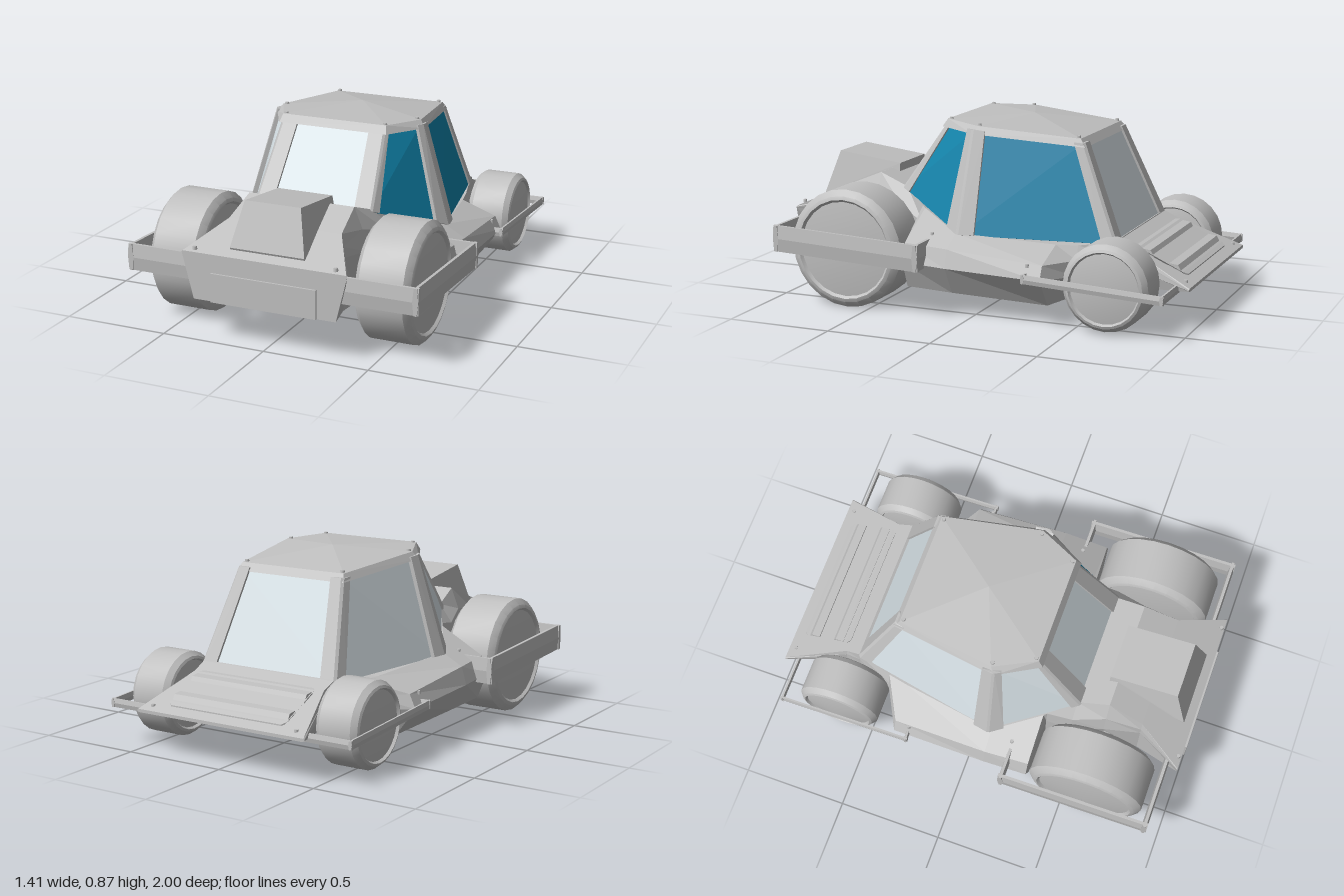
import * as THREE from 'three';
import { toCreasedNormals } from 'three/addons/utils/BufferGeometryUtils.js';
import { ConvexGeometry } from 'three/addons/geometries/ConvexGeometry.js';

const V = (x, y, z) => new THREE.Vector3(x, y, z);
const mat = (name, color) => Object.assign(new THREE.MeshStandardMaterial({ color }), { name });

export function createModel() {
  const model = new THREE.Group();
  model.name = 'buggy';
  const body = mat('bodyGrey', 0xc0c0c0);
  const pale = mat('paleGlass', 0xd6e0e5);
  const blue = mat('blueGlass', 0x1083aa);

  const add = (name, geometry, material = body, parent = model) => {
    const m = new THREE.Mesh(geometry, material);
    m.name = name;
    parent.add(m);
    return m;
  };
  const solid = (name, points, material) => add(name, new ConvexGeometry(points), material);
  // each point given for +x, mirrored to -x
  const both = (pts) => pts.flatMap(([x, y, z]) => [V(x, y, z), V(-x, y, z)]);

  // hull: lofted half sections, front to back: z, bottom, side, mid, top
  const sections = [
    [0.99, [0.345, 0.19], [0.398, 0.40], [0.399, 0.405], [0.395, 0.41]],
    [0.77, [0.28, 0.15], [0.285, 0.40], [0.284, 0.45], [0.275, 0.51]],
    [0.60, [0.28, 0.14], [0.32, 0.38], [0.30, 0.48], [0.26, 0.58]],
    [0.45, [0.35, 0.13], [0.36, 0.33], [0.345, 0.44], [0.28, 0.525]],
    [0.33, [0.37, 0.12], [0.375, 0.25], [0.372, 0.38], [0.362, 0.46]],
    [0.315, [0.57, 0.12], [0.62, 0.245], [0.59, 0.33], [0.372, 0.45]],
    [0.10, [0.55, 0.105], [0.625, 0.235], [0.60, 0.32], [0.50, 0.375]],
    [-0.36, [0.52, 0.085], [0.62, 0.22], [0.59, 0.285], [0.42, 0.345]],
    [-0.46, [0.36, 0.11], [0.43, 0.21], [0.42, 0.28], [0.40, 0.345]],
    [-0.63, [0.33, 0.14], [0.365, 0.25], [0.365, 0.31], [0.36, 0.37]],
    [-0.70, [0.335, 0.16], [0.365, 0.26], [0.362, 0.31], [0.355, 0.34]],
    [-1.0, [0.445, 0.195], [0.455, 0.20], [0.455, 0.205], [0.45, 0.21]],
  ];
  const rings = sections.map(([z, b, s, m, t]) => {
    const half = [t, m, s, b];
    return [...half.map(([x, y]) => V(x, y, z)), ...half.reverse().map(([x, y]) => V(-x, y, z))];
  });
  const tris = [];
  const last = rings[rings.length - 1];
  for (let i = 0; i < rings.length - 1; i++) {
    const a = rings[i], b = rings[i + 1];
    for (let k = 0; k < 8; k++) {
      const n = (k + 1) % 8;
      tris.push(a[k], a[n], b[n], a[k], b[n], b[k]);
    }
  }
  for (let k = 1; k < 7; k++) {
    tris.push(rings[0][0], rings[0][k + 1], rings[0][k], last[0], last[k], last[k + 1]);
  }
  const hull = new THREE.BufferGeometry().setFromPoints(tris);
  hull.computeVertexNormals();
  add('hull', hull);

  // hood scoop and front plate
  solid('hoodScoop', both([
    [0.18, 0.44, 0.95], [0.135, 0.645, 0.885], [0.135, 0.605, 0.56], [0.15, 0.52, 0.56], [0.18, 0.40, 0.93],
  ]));
  add('frontPlate', new THREE.BoxGeometry(0.51, 0.135, 0.02)).position.set(0, 0.257, 0.99);

  // tail louvers, lying on the sloping rear deck
  const deckY = (z) => 0.34 + (z + 0.7) * 0.433;
  solid('louverPanel', both([
    [0.32, deckY(-0.7) + 0.004, -0.72], [0.30, deckY(-0.7) + 0.006, -0.70],
    [0.32, deckY(-0.93) + 0.008, -0.93], [0.30, deckY(-0.95) + 0.006, -0.95],
    [0.30, deckY(-0.95) - 0.01, -0.95], [0.30, deckY(-0.7) - 0.01, -0.70],
  ]));
  for (const z of [-0.73, -0.86]) {
    solid('louver', both([
      [0.315, deckY(z), z], [0.315, deckY(z) + 0.012, z - 0.005],
      [0.315, deckY(z - 0.045) + 0.026, z - 0.045], [0.315, deckY(z - 0.065), z - 0.065],
    ]));
  }

  // cabin faces: bottom start, bottom end, top end, top start
  const corners = (s) => ({
    a: [V(s * 0.28, 0.515, 0.46), V(s * 0.25, 0.835, 0.24)],
    b: [V(s * 0.495, 0.365, 0.085), V(s * 0.355, 0.83, 0.065)],
    c: [V(s * 0.36, 0.355, -0.62), V(s * 0.28, 0.79, -0.435)],
  });
  const L = corners(1), R = corners(-1);
  const face = (p, q) => [p[0], q[0], q[1], p[1]];
  const centre = V(0, 0.6, -0.1);
  // points of a strip between u0 and u1 of a face, raised outward from lo to hi
  const strip = (f, u0, u1, v0, v1, lo, hi) => {
    const n = f[1].clone().sub(f[0]).cross(f[3].clone().sub(f[0])).normalize();
    if (n.dot(f[0].clone().sub(centre)) < 0) n.negate();
    const at = (u, v) => f[0].clone().lerp(f[1], u).lerp(f[3].clone().lerp(f[2], u), v);
    return [at(u0, v0), at(u1, v0), at(u1, v1), at(u0, v1)]
      .flatMap((p) => [lo, hi].map((d) => p.clone().addScaledVector(n, d)));
  };
  const front = face(R.a, L.a), rear = face(R.c, L.c);
  solid('windshield', strip(front, 0, 1, 0, 1, -0.004, 0.003), pale);
  solid('rearWindow', strip(rear, 0, 1, 0, 1, -0.004, 0.003), pale);
  solid('rearSill', strip(rear, 0, 1, -0.02, 0.03, -0.01, 0.015));
  for (const [side, k, glass] of [['left', L, blue], ['right', R, pale]]) {
    const fore = face(k.a, k.b), aft = face(k.b, k.c);
    const isLeft = k === L;
    const end = (w) => (isLeft ? [1 - w, 1] : [0, w]);
    solid(side + 'FrontWindow', strip(fore, 0, 1, 0, 1, -0.004, 0.003), glass);
    solid(side + 'RearWindow', strip(aft, 0, 1, 0, 1, -0.004, 0.003), glass);
    solid(side + 'FrontPillar', [
      ...strip(front, ...end(0.14), 0, 1, 0, 0.014), ...strip(fore, 0, 0.09, 0, 1, 0, 0.012)]);
    solid(side + 'MiddlePillar', [
      ...strip(fore, 0.84, 1, 0, 1, 0, 0.025), ...strip(aft, 0, 0.1, 0, 1, 0, 0.025)]);
    solid(side + 'RearPillar', [
      ...strip(aft, 0.92, 1, 0, 1, 0, 0.012), ...strip(rear, ...end(0.1), 0, 1, 0, 0.014)]);
  }

  // roof cap with a slight crown
  solid('roof', [V(0, 0.873, -0.09), ...both([
    [0.26, 0.862, 0.245], [0.355, 0.852, 0.05], [0.28, 0.812, -0.425],
    [0.27, 0.825, 0.268], [0.38, 0.817, 0.068], [0.295, 0.775, -0.452],
  ])]);

  // wheels
  const wheel = (r, w) => {
    const profile = [
      [0.001, -w - 0.015], [0.8 * r, -w + 0.012], [0.84 * r, -w], [r * 0.9, -w + 0.005], [r, -w + 0.03],
      [r, w - 0.03], [r * 0.9, w - 0.005], [0.84 * r, w], [0.8 * r, w - 0.012], [0.001, w + 0.015],
    ].map(([x, y]) => new THREE.Vector2(x, y));
    return toCreasedNormals(new THREE.LatheGeometry(profile, 24).rotateZ(-Math.PI / 2), 0.45);
  };
  const wheels = [
    ['front', 0.28, 0.133, 0.505, 0.28, 0.61],
    ['rear', 0.199, 0.11, 0.51, 0.212, -0.658],
  ];
  for (const [end, r, w, x, y, z] of wheels) {
    for (const s of [-1, 1]) add(end + 'Wheel', wheel(r, w)).position.set(s * x, y, z);
    add(end + 'Axle', new THREE.CylinderGeometry(0.035, 0.035, 2 * x, 12).rotateZ(Math.PI / 2))
      .position.set(0, y, z);
  }

  // wheel guards: six sided bars following a path around each wheel
  const bar = (name, p, q, h, t) => {
    const d = q.clone().sub(p).normalize();
    const n = V(-d.z, 0, d.x).normalize();
    const pts = [];
    for (const e of [p.clone().addScaledVector(d, -t), q.clone().addScaledVector(d, t)]) {
      for (const [u, v] of [[1, 0], [0.5, 1], [-0.5, 1], [-1, 0], [-0.5, -1], [0.5, -1]]) {
        pts.push(e.clone().addScaledVector(n, u * t).add(V(0, v * h, 0)));
      }
    }
    solid(name, pts);
  };
  const guards = [
    ['frontGuard', 0.062, 0.014, [[0.34, 0.318, 0.93], [0.69, 0.318, 0.93], [0.69, 0.287, 0.215], [0.56, 0.287, 0.215]]],
    ['rearGuard', 0.02, 0.009, [[0.41, 0.197, -0.935], [0.647, 0.197, -0.935], [0.647, 0.23, -0.29], [0.57, 0.23, -0.29]]],
  ];
  for (const [name, h, t, path] of guards) {
    for (const s of [-1, 1]) {
      const p = path.map(([x, y, z]) => V(s * x, y, z));
      for (let i = 0; i < 3; i++) bar(name, p[i], p[i + 1], h, t);
    }
  }

  // bolts at the roof, nose, tail and sill corners
  const bolt = new THREE.CylinderGeometry(0.009, 0.011, 0.016, 6);
  for (const p of both([
    [0.25, 0.861, 0.23], [0.335, 0.854, 0.05], [0.265, 0.816, -0.41],
    [0.34, 0.425, 0.975], [0.39, 0.225, -0.965], [0.52, 0.365, 0.21], [0.595, 0.28, -0.29],
  ])) add('bolt', bolt).position.copy(p);

  return model;
}
